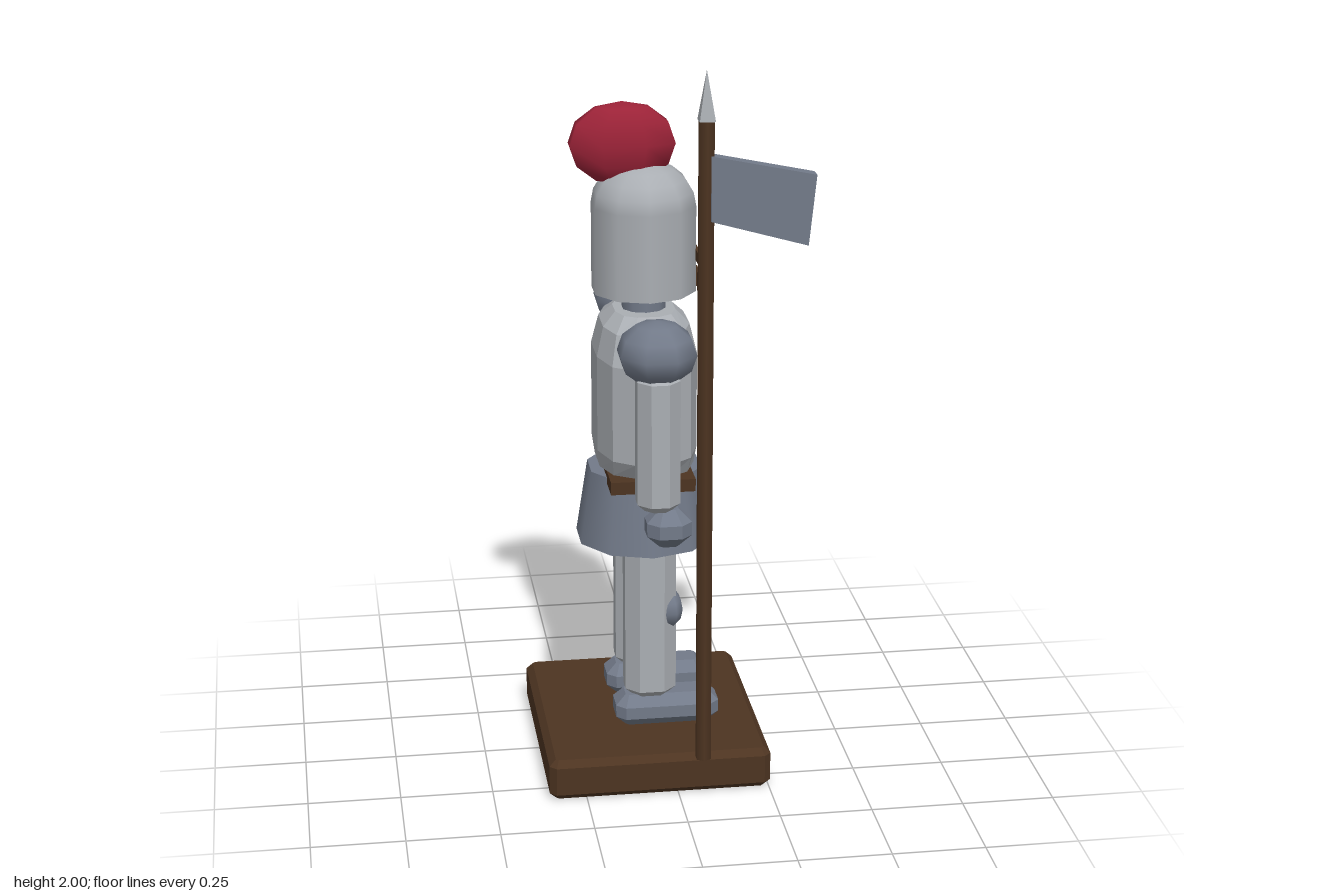
import * as THREE from 'three';

const mat = (name, color, opts = {}) => Object.assign(new THREE.MeshStandardMaterial({ color, ...opts }), { name });

// Box with chamfered corners (c) and bevelled top and bottom (b), centred on the origin
function bevelBox(w, h, d, c, b) {
  const x = w / 2, z = d / 2;
  const shape = new THREE.Shape([
    [x, -z + c], [x, z - c], [x - c, z], [-x + c, z],
    [-x, z - c], [-x, -z + c], [-x + c, -z], [x - c, -z],
  ].map(([px, py]) => new THREE.Vector2(px, py)));
  const g = new THREE.ExtrudeGeometry(shape, {
    depth: h - 2 * b, bevelEnabled: true, bevelSegments: 1,
    bevelSize: b, bevelThickness: b, bevelOffset: -b,
  });
  return g.translate(0, 0, b - h / 2).rotateX(-Math.PI / 2);
}

// Eight-sided smooth ball with flat sides facing the axes; sizes are half extents
function ball(x, y, z) {
  const k = 1 / Math.cos(Math.PI / 8);
  return new THREE.SphereGeometry(1, 8, 6).rotateY(Math.PI / 8).scale(x * k, y, z * k);
}

// Joins scaled copies of one outline; levels are [y, scaleX, scaleZ]
function loft(outline, levels) {
  const n = outline.length, pos = [], idx = [];
  for (const [y, sx, sz] of levels) for (const [x, z] of outline) pos.push(x * sx, y, z * sz);
  pos.push(0, levels[0][0], 0, 0, levels[levels.length - 1][0], 0);
  const bottom = n * levels.length, top = bottom + 1, last = bottom - n;
  for (let i = 0; i < n; i++) {
    const j = (i + 1) % n;
    for (let r = 0; r < last; r += n) idx.push(r + i, r + j, r + n + j, r + i, r + n + j, r + n + i);
    idx.push(bottom, j, i, top, last + i, last + j);
  }
  const g = new THREE.BufferGeometry();
  g.setAttribute('position', new THREE.Float32BufferAttribute(pos, 3));
  g.setIndex(idx);
  const flat = g.toNonIndexed();
  flat.computeVertexNormals();
  return flat;
}

export function createModel() {
  const steel = mat('light steel', 0xaaaeb3);
  const dark = mat('blue steel', 0x727a89);
  const wood = mat('dark wood', 0x4d3421);
  const red = mat('plume red', 0x9c2338);

  const model = new THREE.Group();
  model.name = 'knightStatue';
  const knight = new THREE.Group();
  knight.name = 'knight';
  knight.position.set(-0.048, 0, -0.005);
  model.add(knight);

  const add = (parent, name, geometry, material, x = 0, y = 0, z = 0) => {
    const m = new THREE.Mesh(geometry, material);
    m.name = name;
    m.position.set(x, y, z);
    parent.add(m);
    return m;
  };

  // Plinth
  add(knight, 'base', bevelBox(0.605, 0.115, 0.68, 0.018, 0.018), wood, 0, 0.0575, 0);

  // Limbs, mirrored in z (the figure looks along +x)
  for (const s of [1, -1]) {
    add(knight, 'foot', bevelBox(0.285, 0.09, 0.12, 0.025, 0.028), dark, 0.045, 0.163, s * 0.105);
    add(knight, 'leg', bevelBox(0.14, 0.46, 0.12, 0.036, 0.02), steel, 0, 0.435, s * 0.105);
    add(knight, 'knee', ball(0.035, 0.054, 0.058), dark, 0.054, 0.452, s * 0.105);
    add(knight, 'shoulder', ball(0.1, 0.087, 0.1), dark, 0, 1.237, s * 0.256);
    add(knight, 'arm', bevelBox(0.114, 0.38, 0.114, 0.033, 0.02), steel, 0, 1.0, s * 0.272);
    add(knight, 'hand', bevelBox(0.12, 0.105, 0.112, 0.03, 0.034), dark, 0.028, 0.758, s * 0.272);
  }

  // Skirt and belt
  add(knight, 'skirt', new THREE.CylinderGeometry(0.158, 0.19, 0.205, 10), dark, 0, 0.735, 0);
  add(knight, 'belt', new THREE.BoxGeometry(0.228, 0.035, 0.38), wood, 0, 0.838, 0);

  // Breastplate
  const side = [[0.05, 0.2], [0.105, 0.16], [0.135, 0.066], [0.135, -0.066], [0.105, -0.16], [0.05, -0.2]];
  const outline = [...side, ...side.map(([x, z]) => [-x, -z])];
  add(knight, 'breastplate', loft(outline, [
    [0.855, 0.95, 0.82], [0.905, 1, 1], [1.17, 1, 1], [1.25, 0.86, 0.83], [1.285, 0.6, 0.5],
  ]), steel);

  // Neck and helmet
  add(knight, 'neck', new THREE.CylinderGeometry(0.06, 0.06, 0.1, 10), dark, 0, 1.31, 0);
  add(knight, 'helmet', new THREE.CylinderGeometry(0.142, 0.142, 0.235, 10), steel, 0, 1.4525, 0);
  add(knight, 'helmetDome', new THREE.SphereGeometry(0.142, 10, 5, 0, Math.PI * 2, 0, Math.PI / 2)
    .rotateY(Math.PI / 2).scale(1, 0.82, 1), steel, 0, 1.57, 0);
  add(knight, 'eyeSlit', new THREE.BoxGeometry(0.009, 0.03, 0.19), wood, 0.137, 1.438, 0);
  for (const z of [-0.087, -0.03, 0.03, 0.087]) {
    add(knight, 'breathHole', new THREE.BoxGeometry(0.009, 0.052, 0.024), wood, 0.137, 1.374, z);
  }

  // Plume
  add(knight, 'plume', ball(0.14, 0.112, 0.059), red, -0.057, 1.736, 0);

  // Spear with pennant
  const spear = new THREE.Group();
  spear.name = 'spear';
  spear.position.set(0.066, 0, 0.336);
  model.add(spear);
  add(spear, 'shaft', new THREE.CylinderGeometry(0.022, 0.022, 1.765, 6), wood, 0, 0.9875, 0);
  const tip = new THREE.ConeGeometry(0.029, 0.13, 4, 1).toNonIndexed();
  tip.computeVertexNormals();
  add(spear, 'spearhead', tip.rotateY(Math.PI / 4), steel, 0, 1.935, 0);
  const flag = new THREE.Shape([[0.01, 1.612], [0.262, 1.54], [0.281, 1.725], [0.01, 1.782]]
    .map(([x, y]) => new THREE.Vector2(x, y)));
  add(spear, 'pennant', new THREE.ExtrudeGeometry(flag, { depth: 0.038, bevelEnabled: false }), dark, 0, 0, -0.019);

  return model;
}
